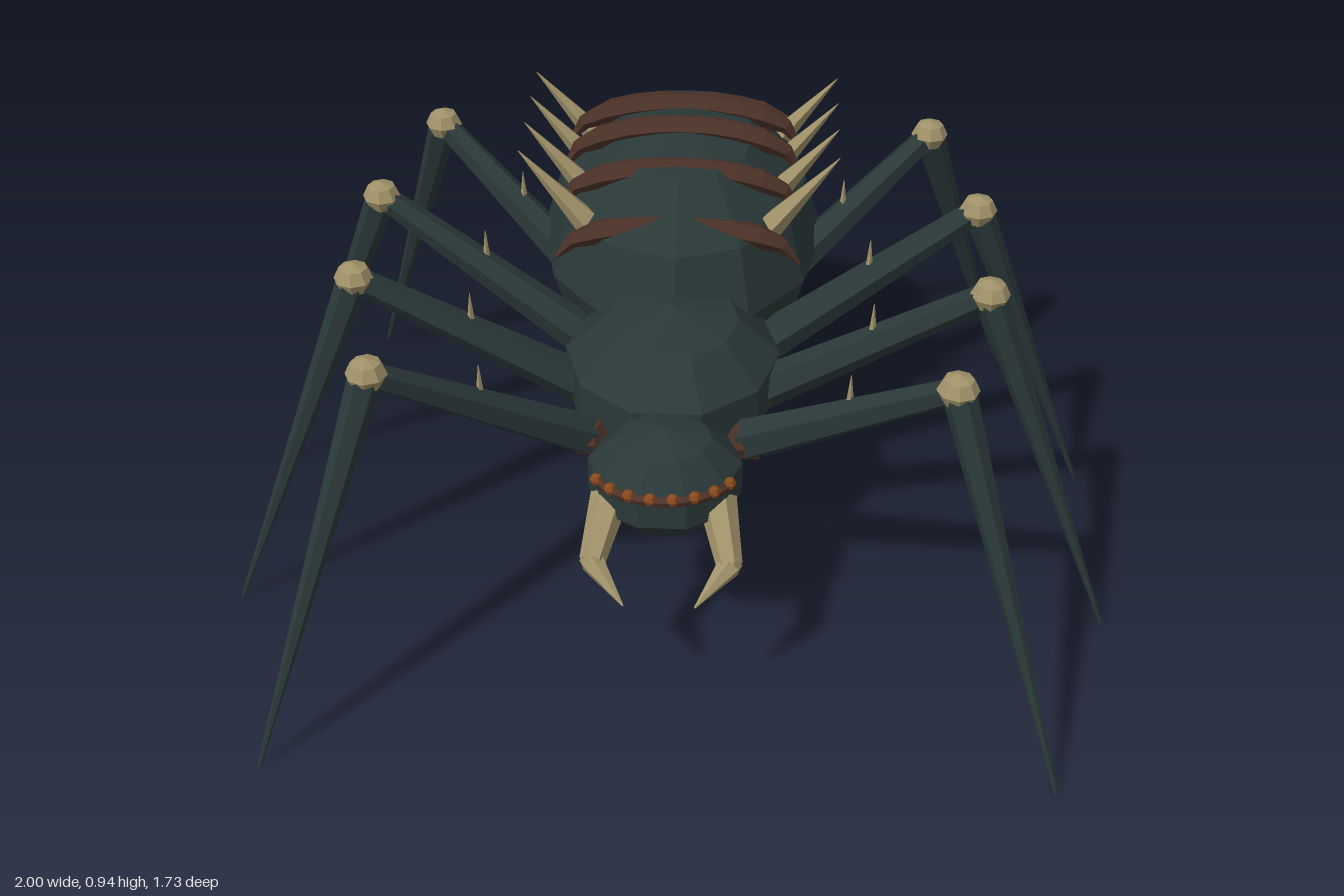
import * as THREE from 'three';

const V = (x, y, z) => new THREE.Vector3(x, y, z);
const UP = V(0, 1, 0);

export function createModel() {
  const model = new THREE.Group();
  model.name = 'spider';

  const material = (name, hex) => {
    const m = new THREE.MeshStandardMaterial({ color: hex });
    m.name = name;
    return m;
  };
  const shell = material('dark shell', 0x2a3838);
  const brown = material('rust brown', 0x4c3228);
  const bone = material('bone', 0xa09269);
  const amber = material('amber eyes', 0x8a4a1c);

  // Faceted mesh: unshared corners give every face its own normal
  const add = (name, geometry, mat) => {
    const g = geometry.index ? geometry.toNonIndexed() : geometry;
    g.computeVertexNormals();
    const mesh = new THREE.Mesh(g, mat);
    mesh.name = name;
    model.add(mesh);
    return mesh;
  };

  const ball = (name, mat, centre, radii, around, rows) => {
    const g = new THREE.SphereGeometry(1, around, rows);
    g.scale(...radii);
    add(name, g, mat).position.copy(centre);
  };

  // Tapered rod from a to b
  const rod = (name, mat, a, b, ra, rb, sides = 6) => {
    const dir = b.clone().sub(a);
    const g = new THREE.CylinderGeometry(rb, ra, dir.length(), sides);
    const mesh = add(name, g, mat);
    mesh.position.copy(a).add(b).multiplyScalar(0.5);
    mesh.quaternion.setFromUnitVectors(UP, dir.normalize());
  };

  // Tube along a curve whose radius follows a rule of t
  const taperedTube = (name, mat, curve, steps, sides, radiusAt) => {
    const g = new THREE.TubeGeometry(curve, steps, 1, sides);
    const p = g.attributes.position;
    const v = V(0, 0, 0);
    for (let i = 0; i < p.count; i++) {
      const t = Math.floor(i / (sides + 1)) / steps;
      const c = curve.getPointAt(t);
      v.fromBufferAttribute(p, i).sub(c).multiplyScalar(radiusAt(t)).add(c);
      p.setXYZ(i, v.x, v.y, v.z);
    }
    add(name, g, mat);
  };

  // Body
  ball('abdomen', shell, V(0, 0.61, -0.405), [0.34, 0.306, 0.46], 12, 6);
  ball('thorax', shell, V(0, 0.523, 0.075), [0.255, 0.167, 0.285], 10, 5);
  ball('head', shell, V(0, 0.478, 0.42), [0.175, 0.122, 0.155], 10, 5);

  // Brown bands over the abdomen: z, height of the ends, height of the crown
  const bands = [
    [-0.11, 0.70, 0.79], [-0.24, 0.765, 0.868], [-0.375, 0.795, 0.908],
    [-0.51, 0.795, 0.9], [-0.64, 0.74, 0.842],
  ];
  for (const [z, low, high] of bands) {
    const points = [];
    for (let i = -4; i <= 4; i++) {
      const a = (i / 4) * Math.PI / 2;
      points.push(V(0.28 * Math.sin(a), low + (high - low) * Math.cos(a), z));
    }
    taperedTube('abdomenBand', brown, new THREE.CatmullRomCurve3(points), 10, 5,
      (t) => 0.03 * Math.min(1, 0.15 + 5 * Math.min(t, 1 - t)));
  }

  // Brow ridge under the eyes
  const brow = [];
  for (let i = -4; i <= 4; i++) {
    const a = i * 0.27;
    brow.push(V(0.166 * Math.sin(a), 0.515, 0.42 + 0.147 * Math.cos(a)));
  }
  taperedTube('browRidge', brown, new THREE.CatmullRomCurve3(brow), 8, 5, () => 0.012);

  // Legs: base, knee, foot
  const legs = [
    [V(0.18, 0.5, 0.31), V(0.593, 0.82, 0.57), V(0.84, 0, 0.857)],
    [V(0.2, 0.5, 0.115), V(0.684, 0.82, 0.203), V(0.998, 0, 0.3)],
    [V(0.2, 0.5, -0.07), V(0.684, 0.82, -0.163), V(0.998, 0, -0.26)],
    [V(0.18, 0.5, -0.27), V(0.593, 0.82, -0.535), V(0.84, 0, -0.82)],
  ];

  for (const s of [1, -1]) {
    const side = s > 0 ? 'left' : 'right';
    const flip = (v) => V(v.x * s, v.y, v.z);

    for (const leg of legs) {
      const [base, knee, foot] = leg.map(flip);
      ball(side + 'HipJoint', brown, base, [0.052, 0.045, 0.052], 6, 4);
      rod(side + 'UpperLeg', shell, base, knee, 0.049, 0.028);
      ball(side + 'KneeJoint', bone, knee, [0.044, 0.038, 0.044], 8, 4);
      rod(side + 'LowerLeg', shell, knee, foot, 0.036, 0.004);
      // Small bristle on the upper leg
      const mid = base.clone().lerp(knee, 0.5);
      rod(side + 'LegBristle', bone, mid, mid.clone().add(V(0, 0.1, 0)), 0.012, 0.001, 4);
    }

    // Spikes along the abdomen
    for (const z of [-0.175, -0.315, -0.45, -0.585]) {
      rod(side + 'AbdomenSpike', bone, flip(V(0.2, 0.745, z)),
        flip(V(0.366, 0.937, z - 0.003)), 0.035, 0.001, 5);
    }

    // Hooked fang
    const fang = [V(0.115, 0.46, 0.48), V(0.145, 0.375, 0.595), V(0.075, 0.325, 0.678)].map(flip);
    rod(side + 'FangBase', bone, fang[0], fang[1], 0.042, 0.028);
    rod(side + 'FangTip', bone, fang[1], fang[2], 0.028, 0.002);
    ball(side + 'FangBend', bone, fang[1], [0.027, 0.027, 0.027], 6, 4);

    // Eyes
    for (const a of [0.14, 0.42, 0.7, 0.98]) {
      ball(side + 'Eye', amber,
        V(s * 0.17 * Math.sin(a), 0.522, 0.42 + 0.15 * Math.cos(a)),
        [0.014, 0.014, 0.014], 6, 4);
    }
  }

  return model;
}
